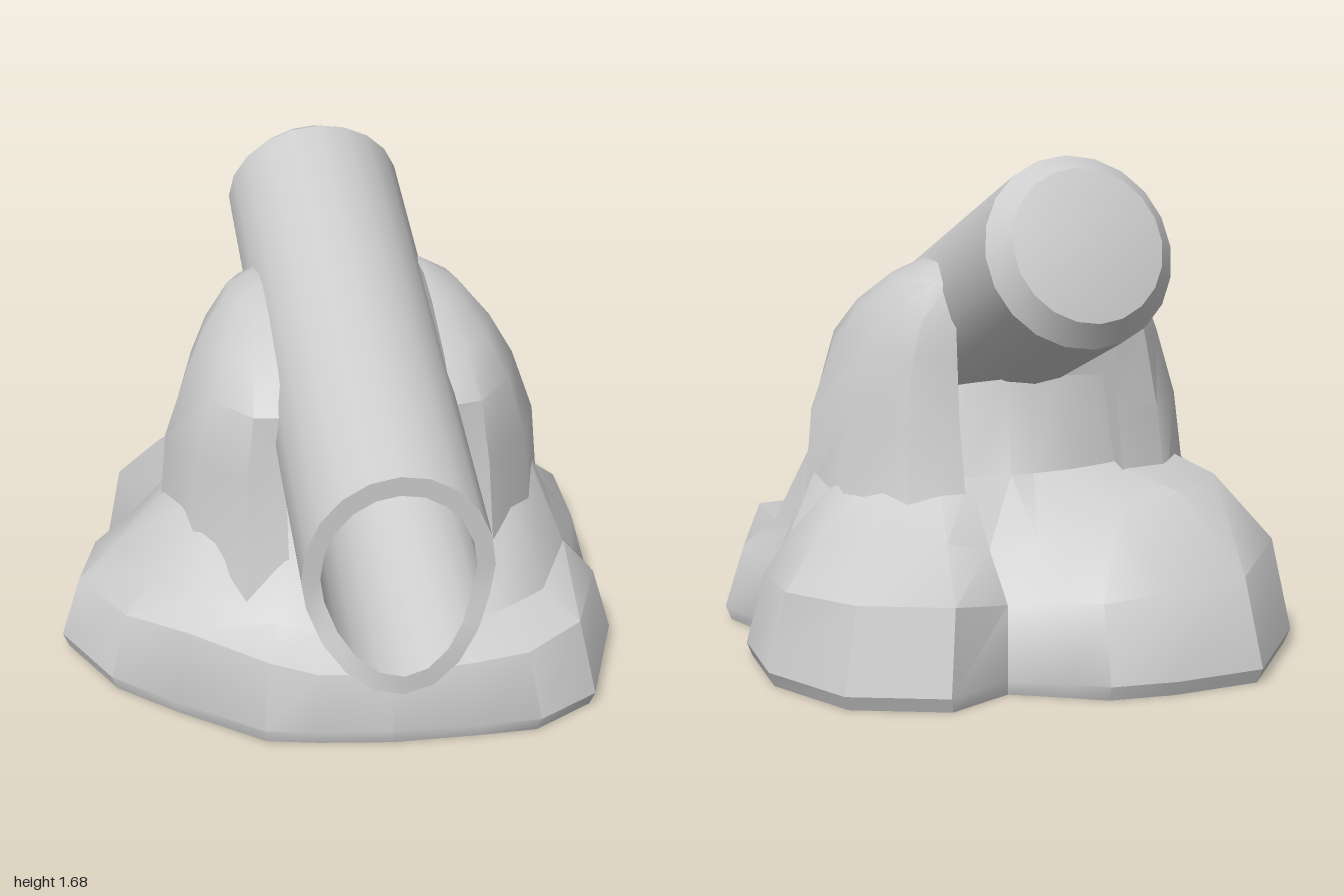
import * as THREE from 'three';
import { toCreasedNormals } from 'three/addons/utils/BufferGeometryUtils.js';

const TILT = THREE.MathUtils.degToRad(67.5);
const COS = Math.cos(TILT), SIN = Math.sin(TILT);
const BARREL_X = 0.04, MOUTH_Y = 0.71, MOUTH_Z = 0.9;

// Height of the barrel's underside at a given z
const underside = (z) => MOUTH_Y + (MOUTH_Z - z) * COS / SIN - 0.31;

// Closed skin over rings of [x, y, z], lowest ring first, counterclockwise from above
function loft(rings) {
  const n = rings[0].length;
  const pos = rings.flat(2);
  const index = [];
  for (let r = 0; r < rings.length - 1; r++) {
    for (let i = 0; i < n; i++) {
      const a = r * n + i, b = r * n + (i + 1) % n;
      index.push(a, b, b + n, a, b + n, a + n);
    }
  }
  const last = (rings.length - 1) * n;
  const cap = (ring, start, up) => {
    const c = pos.length / 3;
    for (let k = 0; k < 3; k++) pos.push(ring.reduce((s, p) => s + p[k], 0) / n);
    for (let i = 0; i < n; i++) {
      const a = start + i, b = start + (i + 1) % n;
      index.push(c, up ? a : b, up ? b : a);
    }
  };
  cap(rings[0], 0, false);
  cap(rings[rings.length - 1], last, true);
  const geo = new THREE.BufferGeometry();
  geo.setAttribute('position', new THREE.Float32BufferAttribute(pos, 3));
  geo.setIndex(index);
  return toCreasedNormals(geo, 0.6);
}

// Lumpy foot: outline x, z, then rim height and shoulder height
const FOOT = [
  [0.05, 0.8, 0.24, 0.33], [0.35, 0.81, 0.26, 0.34], [0.55, 0.81, 0.28, 0.34],
  [0.77, 0.69, 0.31, 0.35], [0.94, 0.28, 0.27, 0.37], [0.87, 0.1, 0.25, 0.38],
  [0.97, -0.13, 0.28, 0.4], [0.98, -0.45, 0.3, 0.42], [0.82, -0.75, 0.32, 0.45],
  [0.52, -0.89, 0.32, 0.46], [0.3, -0.8, 0.28, 0.42], [0.13, -0.9, 0.3, 0.44],
  [0.02, -0.97, 0.3, 0.46], [-0.2, -1, 0.32, 0.54], [-0.5, -0.99, 0.34, 0.57],
  [-0.78, -0.66, 0.36, 0.56], [-0.7, -0.46, 0.27, 0.42], [-0.74, -0.4, 0.26, 0.42],
  [-0.91, -0.27, 0.27, 0.42], [-0.99, 0, 0.27, 0.43], [-0.84, 0.31, 0.28, 0.41],
  [-0.64, 0.5, 0.3, 0.38], [-0.37, 0.72, 0.28, 0.35], [-0.2, 0.76, 0.24, 0.33],
];

function footGeometry() {
  const rings = [[], [], [], [], [], []];
  for (const [x, z, rim, shoulder] of FOOT) {
    const a = Math.atan2(x, z);
    const nx = 0.06 + 0.64 * Math.sin(a), nz = 0.45 * Math.cos(a);
    const mix = (t) => [x * 0.93 + (nx - x * 0.93) * t, z * 0.93 + (nz - z * 0.93) * t];
    const [sx, sz] = mix(0.48);
    const tx = 0.06 + (nx - 0.06) * 0.82, tz = nz * 0.82;
    const low = Math.abs(nx - BARREL_X) < 0.35 ? underside(nz) : 1;
    rings[0].push([x * 0.98, 0, z * 0.98]);
    rings[1].push([x, 0.05, z]);
    rings[2].push([x * 0.93, rim, z * 0.93]);
    rings[3].push([sx, shoulder, sz]);
    rings[4].push([nx, Math.min(0.62, low), nz]);
    rings[5].push([tx, underside(tz), tz]);
  }
  return loft(rings);
}

// Peak hugging one side of the barrel: rows of y, width, front z, back z
const PEAK = [
  [0.3, 0.48, 0.5, -0.54], [0.5, 0.41, 0.45, -0.49], [0.8, 0.38, 0.39, -0.42],
  [1.02, 0.3, 0.37, -0.4], [1.14, 0.23, 0.24, -0.39], [1.25, 0.13, 0.04, -0.35],
  [1.3, 0.03, -0.1, -0.27],
];
const SECTION = [[0, 1], [0.35, 0.95], [0.78, 0.55], [1, 0], [0.85, -0.5], [0.45, -0.9], [0, -1]];

function peakGeometry(side) {
  const widen = side > 0 ? 1 : 0.94;
  return loft(PEAK.map(([y, w, front, back]) => {
    const ring = SECTION.map(([u, v]) => [
      BARREL_X + side * (0.28 + w * widen * u),
      y,
      (front + back) / 2 + v * (front - back) / 2,
    ]);
    return side > 0 ? ring : ring.reverse();
  }));
}

// Hollow barrel with a bevelled, slightly domed breech and a lipped mouth
function barrelGeometry() {
  const profile = [[0, 1.5], [0.25, 1.5], [0.25, 0], [0.31, 0], [0.31, 1.774], [0.247, 1.85], [0, 1.895]]
    .map(([r, t]) => new THREE.Vector2(r, t));
  const geo = new THREE.LatheGeometry(profile, 20);
  const p = geo.attributes.position;
  for (let i = 0; i < p.count; i++) {
    if (p.getY(i) > 0.01) continue;
    // Mouth is cut upright, with the lower lip sticking out
    const down = -p.getZ(i) / Math.hypot(p.getX(i), p.getZ(i));
    const z = 0.89 + 0.11 * Math.pow(Math.max(0, (down - 0.3) / 0.7), 1.2);
    p.setY(i, (MOUTH_Z + COS * p.getZ(i) - z) / SIN);
  }
  geo.rotateX(-TILT);
  geo.translate(BARREL_X, MOUTH_Y, MOUTH_Z);
  return toCreasedNormals(geo, 0.45);
}

export function createModel() {
  const group = new THREE.Group();
  const material = new THREE.MeshStandardMaterial({ color: 0xcccccc });
  const add = (name, geometry) => {
    const mesh = new THREE.Mesh(geometry, material);
    mesh.name = name;
    group.add(mesh);
  };
  add('moundFoot', footGeometry());
  add('leftPeak', peakGeometry(1));
  add('rightPeak', peakGeometry(-1));
  add('barrel', barrelGeometry());
  return group;
}
